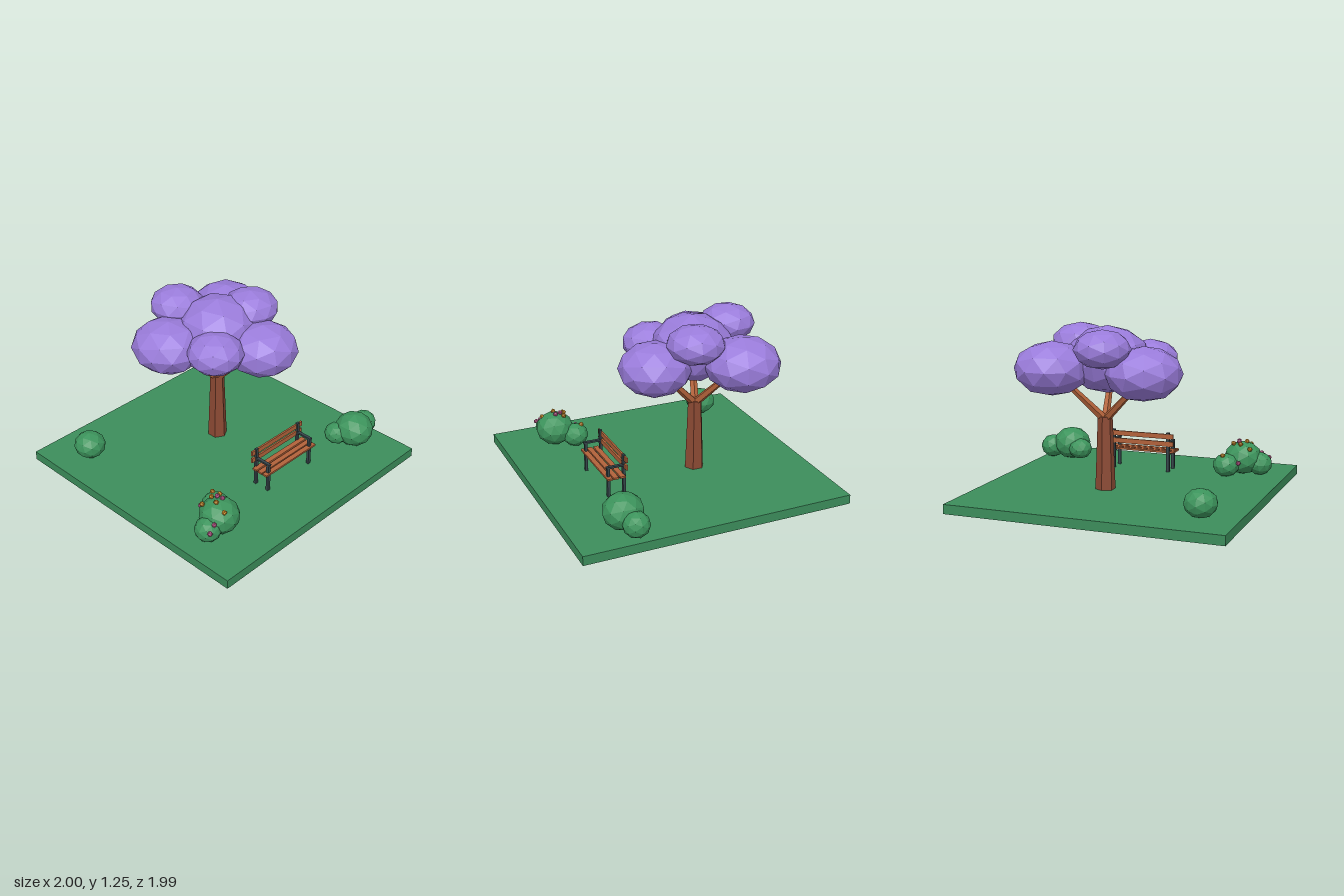
import * as THREE from 'three';

const mat = (name, color) => {
  const m = new THREE.MeshStandardMaterial({ color, flatShading: true });
  m.name = name;
  return m;
};

export function createModel() {
  const root = new THREE.Group();
  root.name = 'parkScene';
  const grass = mat('grass green', 0x3c8d5b);
  const leaf = mat('bush green', 0x3c945c);
  const blossom = mat('blossom purple', 0x9a7cdb);
  const bark = mat('bark brown', 0x8c4a34);
  const wood = mat('wood orange brown', 0xb2623a);
  const iron = mat('dark iron', 0x36454a);
  const orange = mat('flower orange', 0xd9952b);
  const pink = mat('flower pink', 0xd0609a);

  const group = (name, parent = root) => {
    const g = new THREE.Group();
    g.name = name;
    parent.add(g);
    return g;
  };
  const add = (parent, name, geo, material, x, y, z) => {
    const m = new THREE.Mesh(geo, material);
    m.name = name;
    m.position.set(x, y, z);
    parent.add(m);
    return m;
  };
  const box = (parent, name, material, w, h, d, x, y, z) =>
    add(parent, name, new THREE.BoxGeometry(w, h, d), material, x, y, z);
  // Faceted ball, squashed in height and turned about its axis
  const blob = (parent, name, material, [x, y, z, r, ry], turn, detail = 1) => {
    const m = add(parent, name, new THREE.IcosahedronGeometry(1, detail), material, x, y, z);
    m.scale.set(r, ry, r);
    m.rotation.y = turn;
    return m;
  };

  // Lawn slab
  box(root, 'lawn', grass, 1.99, 0.068, 1.99, -0.005, 0.034, 0);

  // Tree: trunk, three branches, canopy
  const tree = group('tree');
  add(tree, 'trunk', new THREE.CylinderGeometry(0.053, 0.073, 0.53, 6), bark, 0.125, 0.33, -0.2);
  const fork = new THREE.Vector3(0.125, 0.57, -0.2);
  const up = new THREE.Vector3(0, 1, 0);
  [[-0.16, 0.85, -0.31], [0.37, 0.86, -0.36], [0.19, 0.86, 0.08]].forEach((p) => {
    const dir = new THREE.Vector3(...p).sub(fork);
    const geo = new THREE.CylinderGeometry(0.021, 0.031, dir.length(), 5);
    const b = add(tree, 'branch', geo, wood, 0, 0, 0);
    b.position.copy(fork).addScaledVector(dir, 0.5);
    b.quaternion.setFromUnitVectors(up, dir.normalize());
  });
  const canopy = group('canopy', tree);
  [
    [0.11, 1.0, -0.18, 0.3, 0.24],
    [-0.22, 0.935, -0.34, 0.27, 0.19],
    [0.435, 0.95, -0.41, 0.272, 0.192],
    [0.222, 0.925, 0.155, 0.26, 0.188],
    [0.02, 1.11, -0.5, 0.2, 0.135],
    [0.355, 1.11, -0.09, 0.207, 0.135],
    [-0.13, 0.985, 0.035, 0.205, 0.145],
  ].forEach((b, i) => blob(canopy, 'canopyClump', blossom, b, i * 0.9));

  // Bushes
  const bushes = {
    floweringBush: [
      [-0.67, 0.19, 0.6, 0.143, 0.127],
      [-0.575, 0.15, 0.47, 0.1, 0.088],
      [-0.795, 0.15, 0.615, 0.095, 0.088],
    ],
    rightBush: [
      [0.75, 0.19, 0.62, 0.145, 0.127],
      [0.905, 0.16, 0.59, 0.095, 0.09],
      [0.645, 0.165, 0.54, 0.092, 0.08],
    ],
    backBush: [[-0.737, 0.165, -0.672, 0.116, 0.1]],
  };
  for (const [name, balls] of Object.entries(bushes)) {
    const g = group(name);
    balls.forEach((b, i) => blob(g, 'bushClump', leaf, b, i * 1.1));
  }

  // Flowers scattered on the left bush
  const flowers = group('flowers');
  const scatter = (name, material, points) => points.forEach((p, i) =>
    blob(flowers, name, material, [...p, 0.019, 0.019], i, 0));
  scatter('orangeFlower', orange, [
    [-0.745, 0.275, 0.51], [-0.67, 0.305, 0.525], [-0.61, 0.305, 0.545],
    [-0.7, 0.315, 0.6], [-0.71, 0.28, 0.685], [-0.56, 0.23, 0.425],
  ]);
  scatter('pinkFlower', pink, [
    [-0.68, 0.18, 0.43], [-0.65, 0.318, 0.56], [-0.64, 0.315, 0.6],
    [-0.85, 0.185, 0.69], [-0.795, 0.22, 0.675],
  ]);

  // Bench facing the front
  const bench = group('bench');
  for (const z of [0.457, 0.507, 0.553])
    box(bench, 'seatSlat', wood, 0.53, 0.014, 0.038, 0.095, 0.217, z);
  for (const y of [0.283, 0.341])
    box(bench, 'backSlat', wood, 0.53, 0.037, 0.014, 0.095, y, 0.428);
  for (const x of [-0.127, 0.313]) {
    box(bench, 'backPost', iron, 0.024, 0.304, 0.02, x, 0.218, 0.434);
    box(bench, 'frontLeg', iron, 0.024, 0.22, 0.02, x, 0.176, 0.55);
    box(bench, 'armrest', iron, 0.024, 0.013, 0.14, x, 0.289, 0.495);
    box(bench, 'seatRail', iron, 0.02, 0.014, 0.12, x, 0.203, 0.492);
  }
  return root;
}
